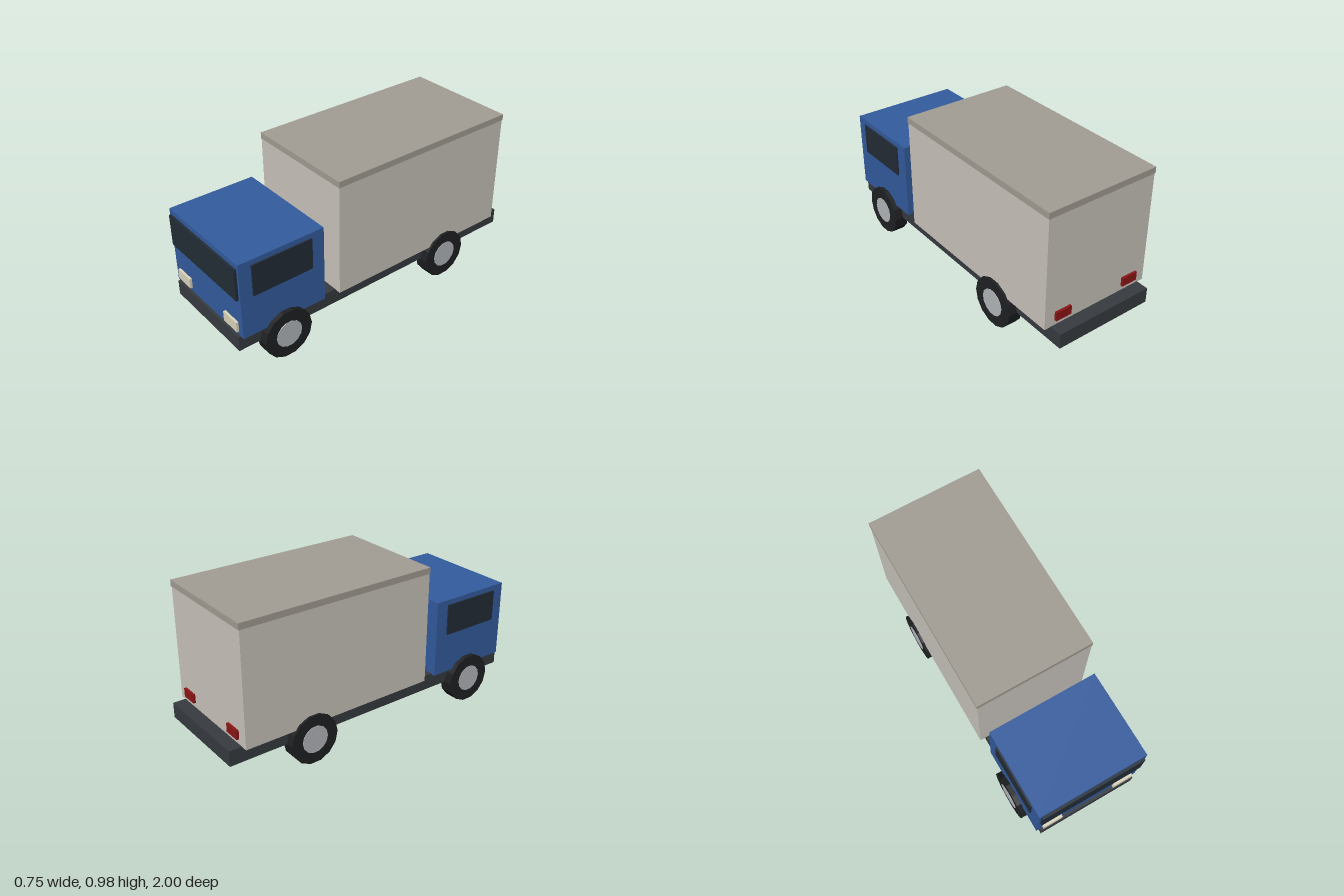
import * as THREE from 'three';

const mat = (color) => new THREE.MeshStandardMaterial({ color, flatShading: true });

export function createModel() {
  const truck = new THREE.Group();
  truck.name = 'boxTruck';

  const paint = mat(0x335c9e);
  const glass = mat(0x232c36);
  const frame = mat(0x373b40);
  const panel = mat(0xcac5bd);
  const trim = mat(0xa39e94);
  const lamp = mat(0xddd6bd);
  const red = mat(0x8c1515);
  const rubber = mat(0x1f2023);
  const metal = mat(0xb4b8bb);

  // Box given by its minimum and maximum on each axis
  function box(name, material, [x0, x1], [y0, y1], [z0, z1]) {
    const mesh = new THREE.Mesh(new THREE.BoxGeometry(x1 - x0, y1 - y0, z1 - z0), material);
    mesh.position.set((x0 + x1) / 2, (y0 + y1) / 2, (z0 + z1) / 2);
    mesh.name = name;
    truck.add(mesh);
  }

  // Main bodies
  box('chassis', frame, [-0.32, 0.32], [0.15, 0.245], [-1, 1]);
  box('cab', paint, [-0.345, 0.345], [0.24, 0.725], [0.437, 0.983]);
  box('windshield', glass, [-0.33, 0.33], [0.495, 0.693], [0.97, 0.998]);
  box('cargoBox', panel, [-0.361, 0.361], [0.243, 0.942], [-0.92, 0.342]);
  box('cargoRoof', trim, [-0.364, 0.364], [0.941, 0.979], [-0.924, 0.344]);

  // Wheel with a hub that shows on both faces
  function wheel(name, x, z) {
    const group = new THREE.Group();
    group.name = name;
    const tyre = new THREE.Mesh(new THREE.CylinderGeometry(0.155, 0.155, 0.089, 14), rubber);
    tyre.name = 'tyre';
    const hub = new THREE.Mesh(new THREE.CylinderGeometry(0.085, 0.085, 0.095, 14), metal);
    hub.name = 'hub';
    group.add(tyre, hub);
    group.rotation.z = Math.PI / 2;
    group.position.set(x, 0.151, z);
    truck.add(group);
  }

  // Paired parts on both sides
  for (const [side, s] of [['left', 1], ['right', -1]]) {
    const span = (a, b) => (s > 0 ? [a, b] : [-b, -a]);
    box(side + 'Window', glass, span(0.335, 0.354), [0.498, 0.693], [0.52, 0.906]);
    box(side + 'Headlight', lamp, span(0.178, 0.306), [0.271, 0.335], [0.97, 0.998]);
    box(side + 'TailLight', red, span(0.188, 0.294), [0.278, 0.333], [-0.935, -0.91]);
    wheel(side + 'FrontWheel', s * 0.33, 0.709);
    wheel(side + 'RearWheel', s * 0.33, -0.485);
  }

  return truck;
}
